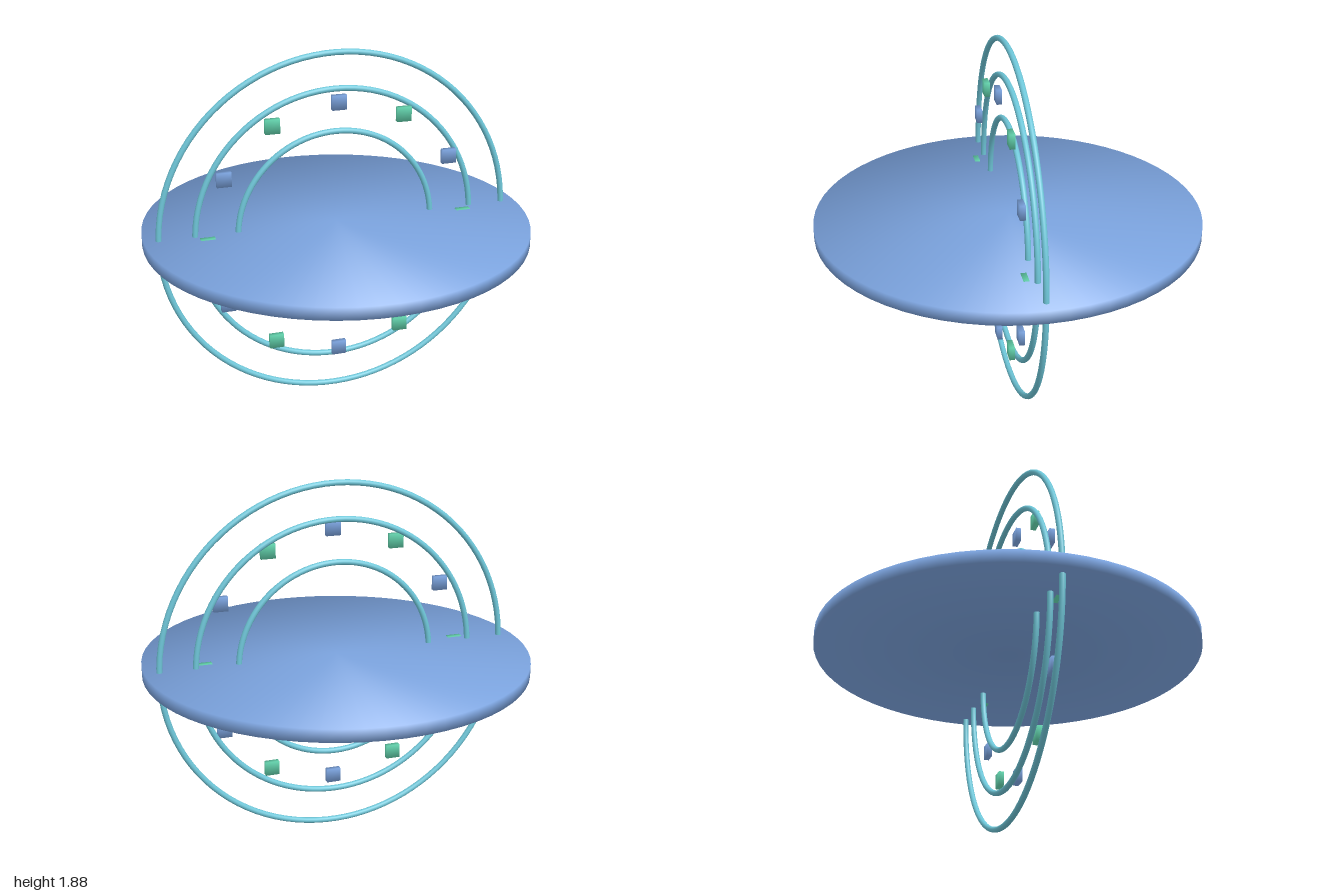
import * as THREE from 'three';

const CENTRE_Y = 0.941;

// Blend normals over the edges for a soft, pillowed look
function softenNormals(geometry, hx, hy, hz) {
  const p = geometry.attributes.position;
  const n = geometry.attributes.normal;
  const v = new THREE.Vector3();
  for (let i = 0; i < p.count; i++) {
    v.set(p.getX(i) / hx, p.getY(i) / hy, p.getZ(i) / hz).normalize();
    n.setXYZ(i, v.x, v.y, v.z);
  }
  return geometry;
}

export function createModel() {
  const model = new THREE.Group();
  model.name = 'ringedDisc';

  const material = (name, color) => {
    const m = new THREE.MeshStandardMaterial({ color });
    m.name = name;
    return m;
  };
  const blue = material('blue', 0x7ba3de);
  const cyan = material('cyan', 0x6ec6d8);
  const green = material('green', 0x62d2ac);

  const add = (name, geometry, mat, x = 0, y = 0, z = 0) => {
    const mesh = new THREE.Mesh(geometry, mat);
    mesh.name = name;
    mesh.position.set(x, CENTRE_Y + y, z);
    model.add(mesh);
  };

  // Flat horizontal disc
  const thickness = 0.066;
  const disc = new THREE.CylinderGeometry(1, 1, thickness, 64);
  add('disc', softenNormals(disc, 1, thickness / 2, 1), blue);

  // Three concentric upright rings
  const tube = 0.015;
  [['outerRing', 0.926], ['middleRing', 0.741], ['innerRing', 0.519]].forEach(([name, radius]) =>
    add(name, new THREE.TorusGeometry(radius, tube, 16, 100), cyan));

  // Twelve markers in a circle, alternating colours, just in front of the rings
  const size = 0.075, depth = 0.028;
  const marker = softenNormals(new THREE.BoxGeometry(size, size, depth), size / 2, size / 2, depth / 2);
  for (let i = 0; i < 12; i++) {
    const a = (i * Math.PI) / 6;
    add(`marker${i + 1}`, marker, i % 2 ? green : blue, 0.685 * Math.sin(a), 0.685 * Math.cos(a), 0.05);
  }

  return model;
}
